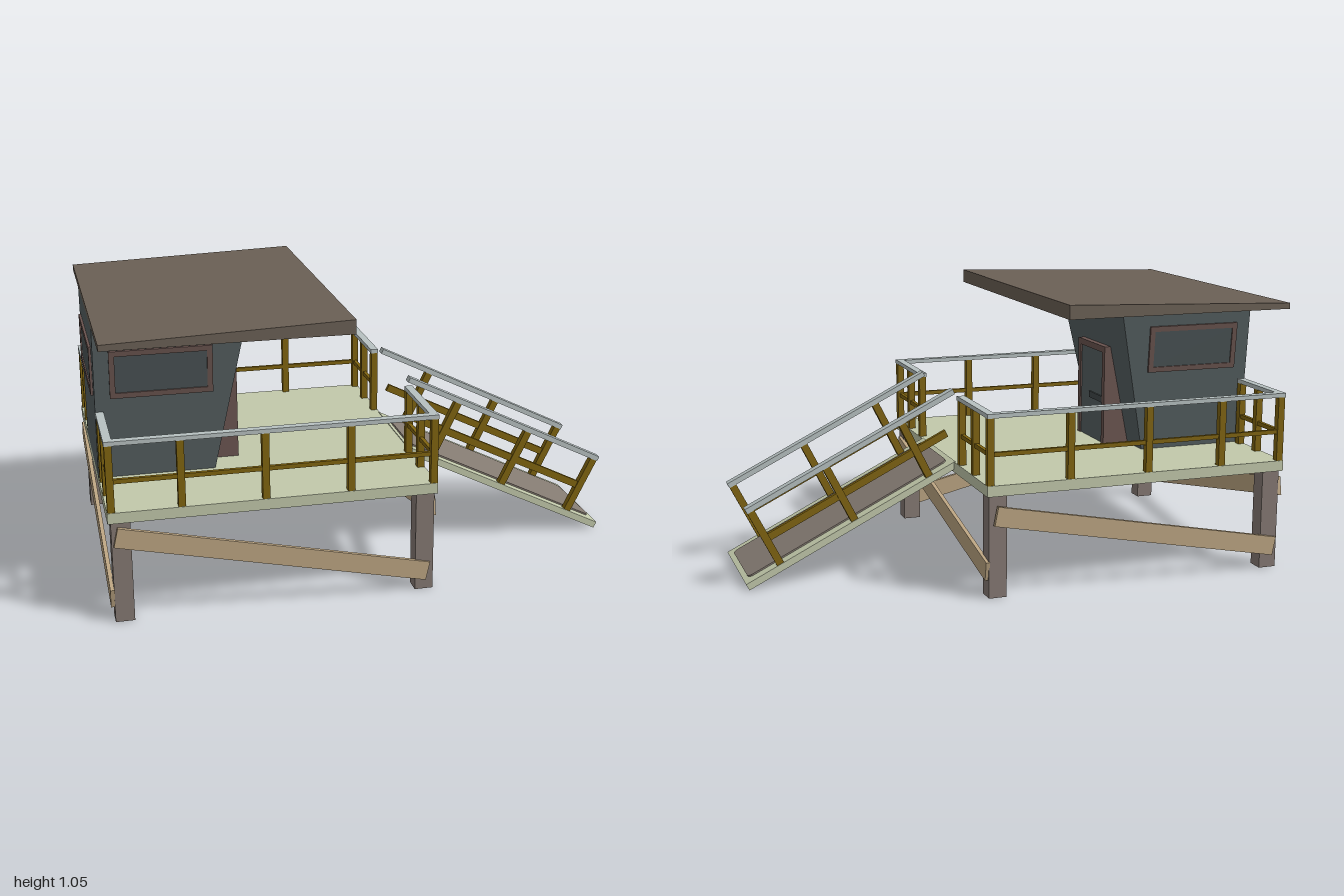
import * as THREE from 'three';

const mat = (color) => new THREE.MeshStandardMaterial({ color, flatShading: true });
const M = {
  deck: mat(0xc2c9ab), rail: mat(0xb7c1c1), post: mat(0x80640f), leg: mat(0x857973),
  brace: mat(0xbca582), wall: mat(0x566062), pane: mat(0x4b5456), frame: mat(0x6b5550),
  roof: mat(0x6b6055), mat: mat(0x857b72), dark: mat(0x42494a),
};

function mesh(parent, name, geometry, material) {
  const m = new THREE.Mesh(geometry, material);
  m.name = name;
  parent.add(m);
  return m;
}

// box given by its lower and upper bounds on each axis
function box(parent, name, material, x0, x1, y0, y1, z0, z1) {
  const g = new THREE.BoxGeometry(x1 - x0, y1 - y0, z1 - z0);
  g.translate((x0 + x1) / 2, (y0 + y1) / 2, (z0 + z1) / 2);
  return mesh(parent, name, g, material);
}

// move the corners of a box by a rule
function reshape(m, rule) {
  const p = m.geometry.attributes.position;
  const v = new THREE.Vector3();
  for (let i = 0; i < p.count; i++) {
    rule(v.fromBufferAttribute(p, i));
    p.setXYZ(i, v.x, v.y, v.z);
  }
  m.geometry.computeVertexNormals();
  return m;
}

function group(parent, name) {
  const g = new THREE.Group();
  g.name = name;
  parent.add(g);
  return g;
}

// framed window facing +z, centred on its own origin
function windowUnit(parent, name, w, h) {
  const g = group(parent, name);
  const b = 0.02, d = 0.008;
  box(g, 'windowPane', M.pane, -w / 2 + b, w / 2 - b, -h / 2 + b, h / 2 - b, -d, d * 0.4);
  for (const s of [-1, 1]) {
    const x = s * (w - b) / 2, y = s * (h - b) / 2;
    box(g, 'windowFrameSide', M.frame, x - b / 2, x + b / 2, -h / 2, h / 2, -d, d);
    box(g, 'windowFrameEdge', M.frame, -w / 2 + b, w / 2 - b, y - b / 2, y + b / 2, -d, d);
  }
  return g;
}

const DECK = 0.42, X0 = -0.99, X1 = 0.195, Z = 0.594;

function buildSupports(root) {
  const g = group(root, 'supports');
  const lx = [-0.945, 0.152], lz = [-0.551, 0.548];
  for (const x of lx) for (const z of lz) {
    box(g, 'leg', M.leg, x - 0.034, x + 0.034, 0, 0.38, z - 0.032, z + 0.032);
  }
  // one diagonal brace per side
  const sides = [
    [[-0.965, 0.328, 0.586], [0.165, 0.072, 0.586]],
    [[-0.965, 0.085, -0.594], [0.165, 0.31, -0.594]],
    [[0.19, 0.32, 0.56], [0.19, 0.1, -0.58]],
    [[-0.985, 0.09, 0.58], [-0.985, 0.32, -0.58]],
  ];
  for (const [a, b] of sides) {
    const p = new THREE.Vector3(...a), q = new THREE.Vector3(...b);
    const m = mesh(g, 'brace', new THREE.BoxGeometry(0.015, 0.072, p.distanceTo(q)), M.brace);
    m.position.copy(p).add(q).multiplyScalar(0.5);
    m.lookAt(q);
  }
}

function buildRailing(root) {
  const g = group(root, 'deckRailing');
  const post = (x, z) =>
    box(g, 'railPost', M.post, x - 0.013, x + 0.013, DECK, 0.665, z - 0.013, z + 0.013);
  for (const s of [-1, 1]) {
    // long side
    const z = s * 0.579;
    box(g, 'topRail', M.rail, X0, X1, 0.664, 0.68, z - 0.015, z + 0.015);
    box(g, 'midRail', M.post, X0 + 0.01, X1 - 0.01, 0.523, 0.539, z - 0.007, z + 0.007);
    for (const x of [-0.975, -0.73, -0.433, -0.125, 0.181]) post(x, z);
    // short returns beside the ramp and beside the cabin
    for (const [x, end] of [[0.18, 0.245], [-0.975, 0.27]]) {
      const a = Math.min(s * end, s * 0.565), b = Math.max(s * end, s * 0.565);
      box(g, 'topRail', M.rail, x - 0.015, x + 0.015, 0.664, 0.68, a, b);
      box(g, 'midRail', M.post, x - 0.007, x + 0.007, 0.523, 0.539, a, b);
      post(x, s * 0.415);
      post(x, s * (end + 0.013));
    }
  }
}

function buildCabin(root) {
  const g = group(root, 'cabin');
  const side = (y) => 0.25 + 0.055 * (y - DECK) / 0.58;
  // walls flare outward towards the roof
  reshape(box(g, 'cabinWalls', M.wall, X0, -0.44, DECK, 1, -1, 1), (v) => {
    v.z = Math.sign(v.z) * side(v.y);
    if (v.x > -0.5 && v.y < 0.5) v.x = -0.56;
  });
  // roof wedge, thicker over the porch
  reshape(box(g, 'roof', M.roof, X0, -0.11, 0.998, 1.05, -Z, Z), (v) => {
    if (v.x < -0.5 && v.y > 1.02) v.y = 1.02;
  });
  const tilt = Math.atan(0.055 / 0.58);
  for (const s of [-1, 1]) {
    const w = windowUnit(g, 'sideWindow', 0.37, 0.18);
    w.position.set(-0.75, 0.82, s * side(0.82));
    w.rotation.order = 'YXZ';
    w.rotation.set(tilt, s < 0 ? Math.PI : 0, 0);
  }
  const back = windowUnit(g, 'backWindow', 0.46, 0.18);
  back.position.set(-0.991, 0.82, 0);
  back.rotation.y = -Math.PI / 2;

  // upright door box in front of the sloped wall
  const d = group(g, 'doorway');
  const zl = 0.144, zr = -0.121, xf = -0.455, b = 0.025;
  box(d, 'doorBox', M.wall, -0.57, xf - 0.006, DECK, 0.8, zr + 0.01, zl - 0.01);
  box(d, 'doorFrameLeft', M.frame, -0.57, xf, DECK, 0.81, zl - b, zl);
  box(d, 'doorFrameRight', M.frame, -0.57, xf, DECK, 0.81, zr, zr + b);
  box(d, 'doorFrameTop', M.frame, -0.53, xf, 0.81 - b, 0.81, zr + b, zl - b);
  box(d, 'doorBar', M.dark, xf - 0.01, xf, 0.583, 0.608, zr + b, 0.03);
}

function buildRamp(root) {
  const g = group(root, 'ramp');
  const L = 0.893;
  g.position.set(X1, DECK, 0);
  g.rotation.z = -Math.atan2(0.397, 0.8);
  box(g, 'rampBoard', M.deck, -0.005, L, -0.026, 0, -0.21, 0.21);

  // mat with rounded corners
  const x0 = 0.015, x1 = L - 0.02, w = 0.163, r = 0.025;
  const s = new THREE.Shape();
  s.moveTo(x0 + r, -w);
  s.lineTo(x1 - r, -w).quadraticCurveTo(x1, -w, x1, -w + r);
  s.lineTo(x1, w - r).quadraticCurveTo(x1, w, x1 - r, w);
  s.lineTo(x0 + r, w).quadraticCurveTo(x0, w, x0, w - r);
  s.lineTo(x0, -w + r).quadraticCurveTo(x0, -w, x0 + r, -w);
  const mg = new THREE.ExtrudeGeometry(s, { depth: 0.006, bevelEnabled: false, curveSegments: 5 });
  mesh(g, 'rampMat', mg.rotateX(-Math.PI / 2), M.mat);

  // sloped handrails
  for (const k of [-1, 1]) {
    const z = k * 0.194;
    box(g, 'rampTopRail', M.rail, -0.12, 0.763, 0.232, 0.252, z - 0.017, z + 0.017);
    box(g, 'rampMidRail', M.post, -0.026, 0.745, 0.097, 0.125, z - 0.008, z + 0.008);
    for (const x of [0.108, 0.432, 0.748]) {
      box(g, 'rampPost', M.post, x - 0.014, x + 0.014, 0, 0.234, z - 0.013, z + 0.013);
    }
  }
}

export function createModel() {
  const root = new THREE.Group();
  root.name = 'beachHut';
  const body = group(root, 'hutBody');
  body.position.z = 0.006;
  box(body, 'deck', M.deck, X0, X1, 0.38, DECK, -Z, Z);
  buildSupports(body);
  buildRailing(body);
  buildCabin(body);
  buildRamp(body);
  return root;
}
